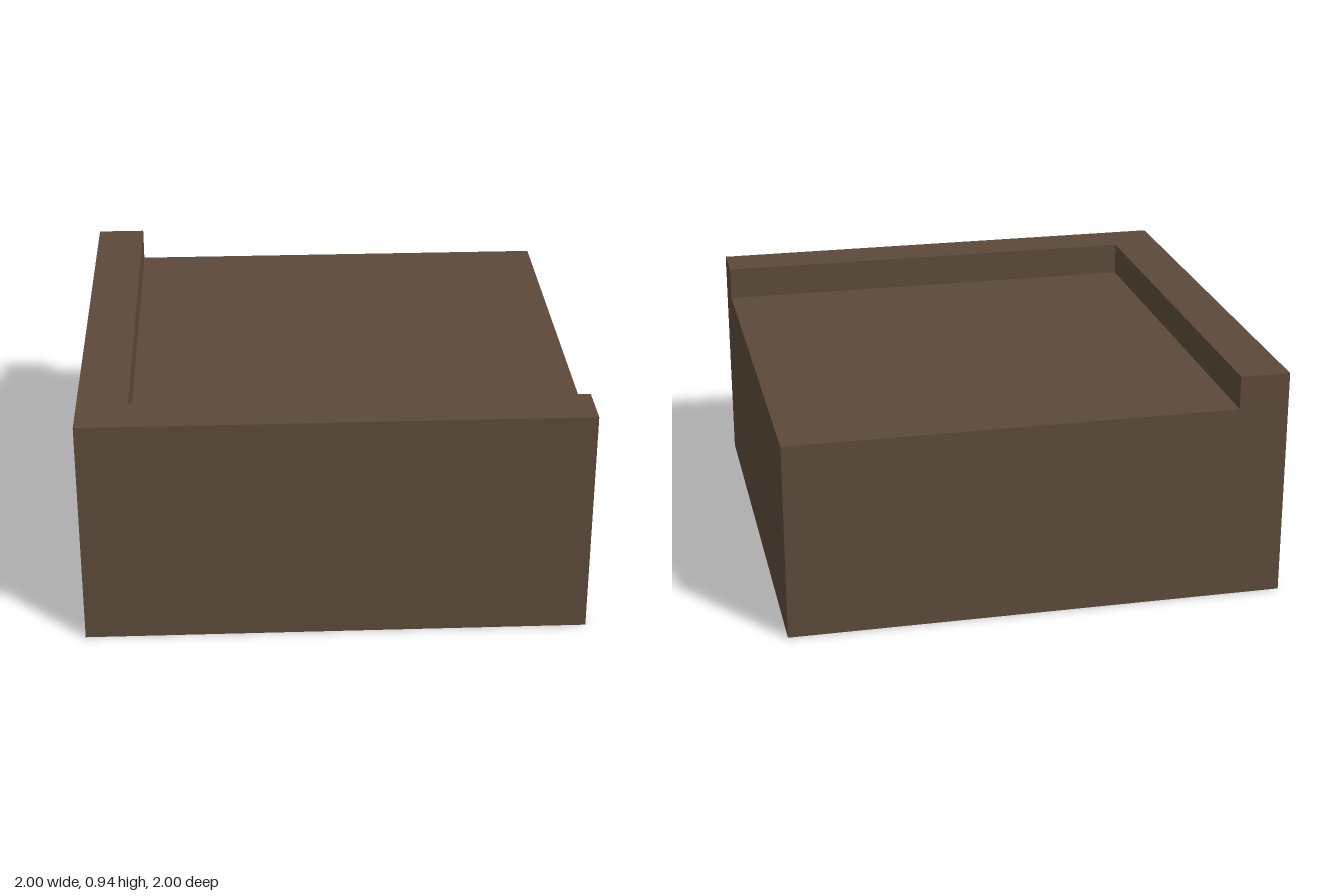
import * as THREE from 'three';

export function createModel() {
  const model = new THREE.Group();
  model.name = 'cornerBlock';

  const brown = new THREE.MeshStandardMaterial({ color: 0x5c4a3a });
  brown.name = 'earth brown';

  const floorHeight = 0.8, totalHeight = 0.935, rimWidth = 0.2;

  // Solid block with a flat floor on top
  const block = new THREE.Mesh(new THREE.BoxGeometry(2, floorHeight, 2), brown);
  block.name = 'baseBlock';
  block.position.y = floorHeight / 2;
  model.add(block);

  // L-shaped raised rim along the front and right edges (shape y is -z)
  const inner = -1 + rimWidth;
  const outline = new THREE.Shape([
    [-1, -1], [1, -1], [1, inner], [inner, inner], [inner, 1], [-1, 1],
  ].map(([x, y]) => new THREE.Vector2(x, y)));
  const rimGeometry = new THREE.ExtrudeGeometry(outline, {
    depth: totalHeight - floorHeight,
    bevelEnabled: false,
  });
  rimGeometry.rotateX(-Math.PI / 2);
  const rim = new THREE.Mesh(rimGeometry, brown);
  rim.name = 'cornerRim';
  rim.position.y = floorHeight;
  model.add(rim);

  return model;
}
